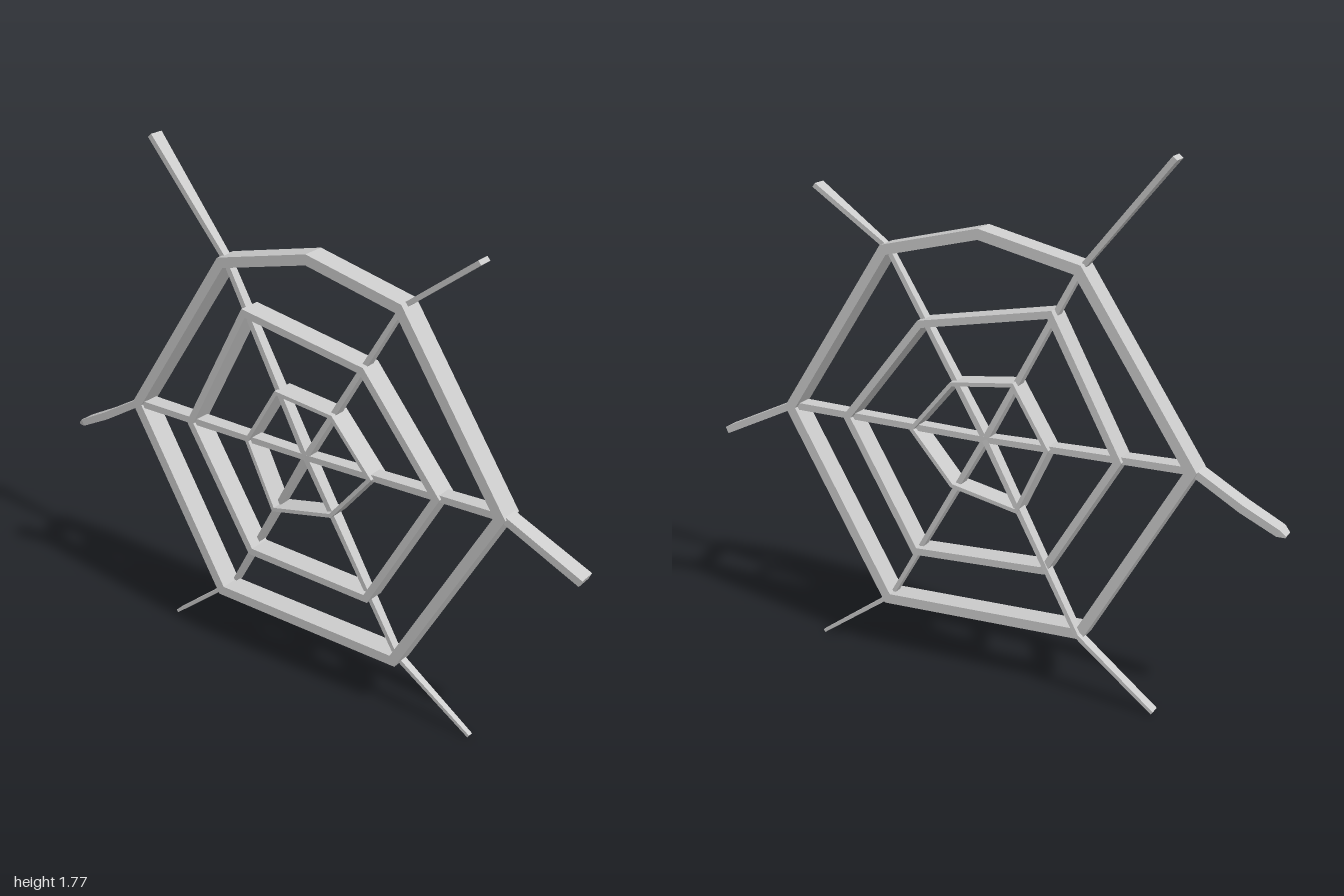
import * as THREE from 'three';

const material = new THREE.MeshStandardMaterial({ color: 0xcccccc, flatShading: true });

// Mitred rectangular beam through stations [z, y, xCentre, xDepth, width]; closed makes a ring.
function beam(name, stations, closed = false) {
  const n = stations.length;
  const at = (i) => stations[(i + n) % n];
  const normalOf = (i) => {
    const a = at(i), b = at(i + 1);
    return new THREE.Vector2(a[1] - b[1], b[0] - a[0]).normalize();
  };
  const sections = stations.map(([z, y, x, depth, width], i) => {
    const first = !closed && i === 0, last = !closed && i === n - 1;
    const before = normalOf(first ? 0 : i - 1), after = normalOf(last ? n - 2 : i);
    const mid = before.clone().add(after).normalize();
    mid.multiplyScalar(width / 2 / mid.dot(after));
    return [[1, 1], [1, -1], [-1, -1], [-1, 1]].map(([s, t]) =>
      [x + t * depth / 2, y + s * mid.y, z + s * mid.x]);
  });
  const positions = [];
  const quad = (a, b, c, d) => positions.push(...a, ...b, ...c, ...a, ...c, ...d);
  for (let i = 0; i < (closed ? n : n - 1); i++) {
    const s = sections[i], e = sections[(i + 1) % n];
    for (let k = 0; k < 4; k++) {
      const j = (k + 1) % 4;
      quad(s[k], s[j], e[j], e[k]);
    }
  }
  if (!closed) {
    const s = sections[0], e = sections[n - 1];
    quad(s[3], s[2], s[1], s[0]);
    quad(e[0], e[1], e[2], e[3]);
  }
  const geometry = new THREE.BufferGeometry();
  geometry.setAttribute('position', new THREE.Float32BufferAttribute(positions, 3));
  geometry.computeVertexNormals();
  const mesh = new THREE.Mesh(geometry, material);
  mesh.name = name;
  return mesh;
}

export function createModel() {
  const web = new THREE.Group();
  web.name = 'spiderWeb';

  // Concentric rings: corner points as [z, y]
  const rings = [
    ['outerRing', 0.034, [[0.722, 0.83], [0.35, 1.405], [0.014, 1.487], [-0.32, 1.41],
      [-0.7, 0.83], [-0.347, 0.222], [0.358, 0.203]]],
    ['middleRing', 0.024, [[0.5, 0.828], [0.222, 1.178], [-0.23, 1.262], [-0.464, 0.824],
      [-0.217, 0.417], [0.25, 0.396]]],
    ['innerRing', 0.013, [[0.257, 0.823], [0.11, 0.995], [-0.105, 1.021], [-0.225, 0.824],
      [-0.12, 0.604], [0.11, 0.652]]],
  ];
  for (const [name, width, points] of rings) {
    web.add(beam(name, points.map(([z, y]) => [z, y, -0.01, 0.08, width]), true));
  }

  // Spokes from the hub, bending at the outer ring into anchor threads
  const hub = [0, 0.82, -0.012, 0.045, 0.02];
  const spokes = {
    frontSpoke: [[0.722, 0.832, -0.014, 0.055, 0.024], [0.995, 0.703, -0.014, 0.06, 0.024]],
    upperFrontSpoke: [[0.35, 1.405, -0.012, 0.026, 0.016], [0.602, 1.59, 0, 0.05, 0.016]],
    upperBackSpoke: [[-0.32, 1.41, -0.01, 0.028, 0.018], [-0.614, 1.765, 0, 0.05, 0.018]],
    backSpoke: [[-0.7, 0.83, -0.012, 0.06, 0.024], [-0.86, 0.738, -0.01, 0.06, 0.026],
      [-0.975, 0.681, -0.01, 0.055, 0.024], [-0.997, 0.67, -0.01, 0.04, 0.006]],
    lowerBackSpoke: [[-0.347, 0.222, 0.03, 0.035, 0.014], [-0.612, 0.014, 0.033, 0.035, 0.011]],
    lowerFrontSpoke: [[0.358, 0.203, -0.01, 0.028, 0.014], [0.634, 0.01, -0.01, 0.018, 0.011]],
  };
  for (const [name, stations] of Object.entries(spokes)) {
    web.add(beam(name, [hub, ...stations]));
  }
  return web;
}
